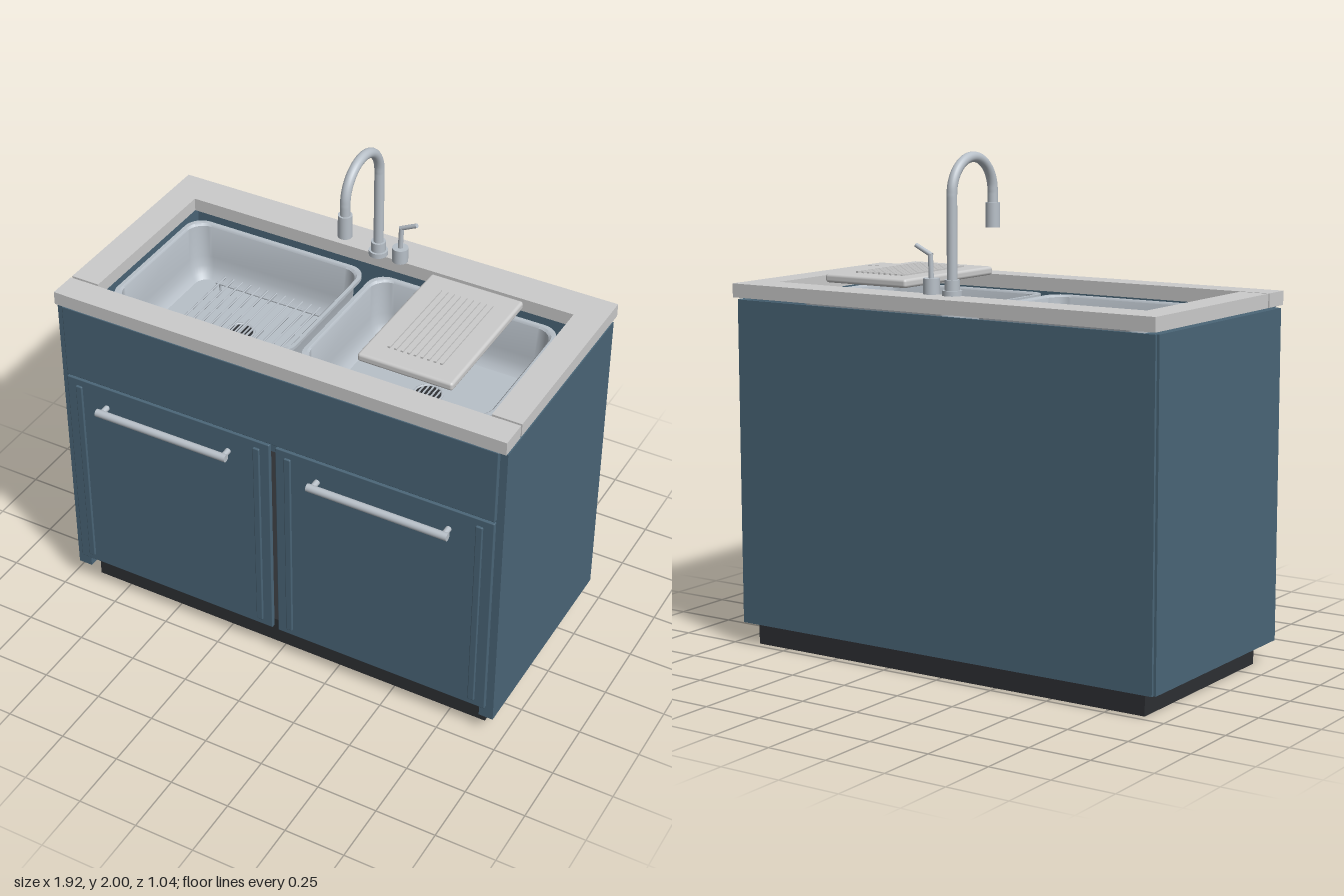
import * as THREE from 'three';
import { toCreasedNormals } from 'three/addons/utils/BufferGeometryUtils.js';
import { RoundedBoxGeometry } from 'three/addons/geometries/RoundedBoxGeometry.js';

const mat = (color, side = THREE.FrontSide) => new THREE.MeshStandardMaterial({ color, side });
const grey = mat(0xcccccc);
const blue = mat(0x4a6577);
const dark = mat(0x2d2f33);
const steel = mat(0xb8c0c8);
const basinSteel = mat(0xb8c0c8, THREE.DoubleSide);

function add(parent, name, geometry, material) {
  const mesh = new THREE.Mesh(geometry, material);
  mesh.name = name;
  parent.add(mesh);
  return mesh;
}

// Box given by its limits on each axis
function box(parent, name, [x0, x1], [y0, y1], [z0, z1], material, radius = 0) {
  const size = [x1 - x0, y1 - y0, z1 - z0];
  const geometry = radius ? new RoundedBoxGeometry(...size, 2, radius) : new THREE.BoxGeometry(...size);
  const mesh = add(parent, name, geometry, material);
  mesh.position.set((x0 + x1) / 2, (y0 + y1) / 2, (z0 + z1) / 2);
  return mesh;
}

// Cylinder between two points
function rod(parent, name, from, to, radius, material, sides = 24) {
  const a = new THREE.Vector3(...from), b = new THREE.Vector3(...to);
  const dir = b.clone().sub(a);
  const mesh = add(parent, name, new THREE.CylinderGeometry(radius, radius, dir.length(), sides), material);
  mesh.position.copy(a).add(b).multiplyScalar(0.5);
  mesh.quaternion.setFromUnitVectors(new THREE.Vector3(0, 1, 0), dir.normalize());
  return mesh;
}

// Bowl lofted through rounded rectangles: [half width, half depth, corner radius, y]
function bowlGeometry(rings) {
  const steps = 8, count = 4 * (steps + 1), pos = [], index = [];
  for (const [w, d, r, y] of rings) {
    for (let c = 0; c < 4; c++) {
      const sx = c === 0 || c === 3 ? 1 : -1, sz = c < 2 ? 1 : -1;
      for (let i = 0; i <= steps; i++) {
        const a = (c + i / steps) * Math.PI / 2;
        pos.push(sx * (w - r) + r * Math.cos(a), y, sz * (d - r) + r * Math.sin(a));
      }
    }
  }
  for (let k = 0; k < rings.length - 1; k++) {
    for (let i = 0; i < count; i++) {
      const a = k * count + i, b = k * count + (i + 1) % count;
      index.push(a, a + count, b, b, a + count, b + count);
    }
  }
  const last = (rings.length - 1) * count;
  pos.push(0, rings[rings.length - 1][3], 0);
  for (let i = 0; i < count; i++) index.push(last + i, last + count, last + (i + 1) % count);
  const geometry = new THREE.BufferGeometry();
  geometry.setAttribute('position', new THREE.Float32BufferAttribute(pos, 3));
  geometry.setIndex(index);
  // Orientation: the floor faces up
  geometry.computeVertexNormals();
  if (geometry.attributes.normal.getY(pos.length / 3 - 1) < 0) geometry.setIndex(index.reverse());
  return toCreasedNormals(geometry, 0.7);
}

function addCabinet(model) {
  const cabinet = new THREE.Group();
  cabinet.name = 'cabinet';
  model.add(cabinet);
  box(cabinet, 'plinth', [-0.9, 0.9], [0, 0.15], [-0.465, 0.375], dark);
  box(cabinet, 'cabinetFloor', [-0.9, 0.9], [0.15, 0.18], [-0.49, 0.435], dark);
  box(cabinet, 'backPanel', [-0.95, 0.95], [0.09, 1.4], [-0.502, -0.49], blue);
  box(cabinet, 'drawerFront', [-0.93, 0.93], [1.087, 1.408], [0.43, 0.455], blue, 0.004);
  for (const s of [-1, 1]) {
    const span = (a, b) => (s > 0 ? [a, b] : [-b, -a]);
    box(cabinet, 'sidePanel', span(0.9, 0.96), [0.09, 1.4], [-0.49, 0.438], blue);
    box(cabinet, 'door', span(0.013, 0.93), [0.15, 1.08], [0.438, 0.457], blue, 0.004);
    for (const x of [0.068, 0.873])
      box(cabinet, 'doorStrip', span(x - 0.014, x + 0.014), [0.18, 1.05], [0.45, 0.466], blue, 0.004);
    // Bar handle on two posts
    rod(cabinet, 'handleBar', [s * 0.177, 0.987, 0.502], [s * 0.767, 0.987, 0.502], 0.016, steel);
    for (const x of [0.195, 0.748])
      rod(cabinet, 'handlePost', [s * x, 0.987, 0.455], [s * x, 0.987, 0.502], 0.012, steel, 16);
  }
}

function addCountertop(model) {
  // U-shaped slab open towards the front strip
  const outline = [[-0.96, -0.33], [-0.84, -0.33], [-0.84, 0.375], [0.84, 0.375],
    [0.84, -0.33], [0.96, -0.33], [0.96, 0.52], [-0.96, 0.52]];
  const shape = new THREE.Shape(outline.map(([x, y]) => new THREE.Vector2(x, y)));
  const geometry = new THREE.ExtrudeGeometry(shape, { depth: 0.055, bevelEnabled: false });
  geometry.rotateX(-Math.PI / 2);
  add(model, 'countertop', geometry, grey).position.y = 1.41;
  box(model, 'countertopFrontStrip', [-0.96, 0.96], [1.41, 1.465], [0.34, 0.455], grey);
}

function addSinks(model) {
  const bowl = bowlGeometry([
    [0.385, 0.307, 0.07, 1.385], [0.4, 0.322, 0.075, 1.395], [0.4, 0.322, 0.075, 1.408], [0.385, 0.307, 0.07, 1.408],
    [0.378, 0.3, 0.07, 1.4], [0.372, 0.294, 0.07, 1.26], [0.366, 0.288, 0.07, 1.22],
    [0.355, 0.277, 0.06, 1.187], [0.338, 0.26, 0.05, 1.17],
  ]);
  for (const s of [-1, 1]) {
    const sink = new THREE.Group();
    sink.name = s < 0 ? 'rightSink' : 'leftSink';
    sink.position.set(s * 0.417, 0, -0.013);
    model.add(sink);
    add(sink, 'basin', bowl, basinSteel);
    rod(sink, 'drain', [0, 1.168, 0], [0, 1.174, 0], 0.055, dark, 32);
    const ring = add(sink, 'drainRing', new THREE.TorusGeometry(0.055, 0.005, 8, 32), steel);
    ring.rotation.x = Math.PI / 2;
    ring.position.y = 1.174;
    for (let i = -2; i <= 2; i++) {
      const half = Math.sqrt(0.05 ** 2 - (i * 0.018) ** 2);
      box(sink, 'drainBar', [i * 0.018 - 0.003, i * 0.018 + 0.003], [1.173, 1.178], [-half, half], steel);
    }
  }
}

function addRack(model) {
  const rack = new THREE.Group();
  rack.name = 'wireRack';
  model.add(rack);
  for (let i = 0; i < 13; i++) {
    const x = -0.64 + i * 0.04;
    rod(rack, 'rackWire', [x, 1.208, -0.27], [x, 1.208, 0.245], 0.004, steel, 8);
  }
  for (const z of [-0.23, 0.222]) {
    rod(rack, 'rackCrossWire', [-0.66, 1.2, z], [-0.145, 1.2, z], 0.005, steel, 8);
    for (const x of [-0.64, -0.16]) rod(rack, 'rackFoot', [x, 1.17, z], [x, 1.2, z], 0.005, steel, 8);
  }
}

function addBoard(model) {
  const board = new THREE.Group();
  board.name = 'drainingBoard';
  model.add(board);
  box(board, 'boardSlab', [0.268, 0.66], [1.468, 1.503], [-0.315, 0.287], grey, 0.012);
  for (let i = 0; i < 9; i++) {
    const x = 0.355 + i * 0.027;
    box(board, 'boardRidge', [x - 0.005, x + 0.005], [1.5, 1.51], [-0.222, 0.2], grey);
  }
}

function addFaucet(model) {
  const faucet = new THREE.Group();
  faucet.name = 'faucet';
  model.add(faucet);
  const z = -0.383, reach = 0.136, top = 1.842;
  rod(faucet, 'faucetBase', [0, 1.465, z], [0, 1.485, z], 0.038, steel, 32);
  rod(faucet, 'faucetCollar', [0, 1.485, z], [0, 1.525, z], 0.029, steel, 32);
  // Gooseneck: riser, half circle and short drop
  const path = new THREE.CurvePath();
  const v = (y, pz) => new THREE.Vector3(0, y, pz);
  path.add(new THREE.LineCurve3(v(1.5, z), v(top, z)));
  const arc = [];
  for (let i = 0; i <= 16; i++) {
    const a = Math.PI * i / 16;
    arc.push(v(top + reach * Math.sin(a), z + reach - reach * Math.cos(a)));
  }
  path.add(new THREE.CatmullRomCurve3(arc));
  path.add(new THREE.LineCurve3(v(top, z + 2 * reach), v(1.78, z + 2 * reach)));
  add(faucet, 'gooseneck', new THREE.TubeGeometry(path, 80, 0.02, 20), steel);
  rod(faucet, 'sprayHead', [0, 1.703, z + 2 * reach], [0, 1.798, z + 2 * reach], 0.028, steel, 32);
  // Separate mixer lever beside the spout
  rod(faucet, 'leverBase', [0.096, 1.465, z], [0.096, 1.525, z], 0.032, steel, 32);
  rod(faucet, 'leverStem', [0.096, 1.52, z], [0.1, 1.617, z], 0.01, steel, 16);
  rod(faucet, 'leverArm', [0.094, 1.612, z], [0.166, 1.647, z], 0.009, steel, 16);
}

export function createModel() {
  const model = new THREE.Group();
  model.name = 'sinkCabinet';
  addCabinet(model);
  addCountertop(model);
  addSinks(model);
  addRack(model);
  addBoard(model);
  addFaucet(model);
  return model;
}
